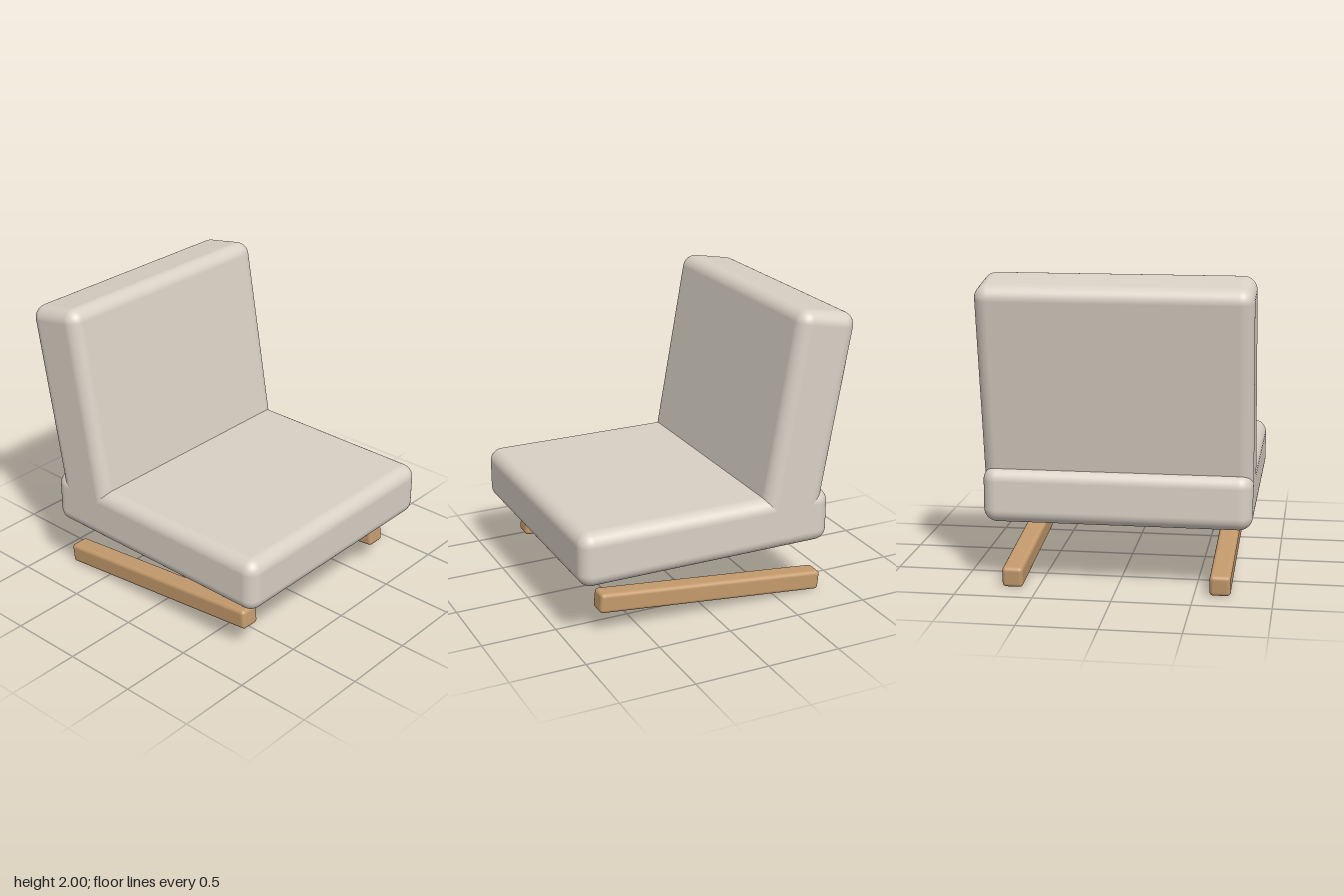
import * as THREE from 'three';
import { RoundedBoxGeometry } from 'three/addons/geometries/RoundedBoxGeometry.js';

const fabric = new THREE.MeshStandardMaterial({ color: 0xd8d0c4 });
const wood = new THREE.MeshStandardMaterial({ color: 0xc49a6c });

// Rounded block, tilted about x by the given degrees
function block(name, size, radius, material, position, tilt = 0) {
  const mesh = new THREE.Mesh(new RoundedBoxGeometry(...size, 6, radius), material);
  mesh.name = name;
  mesh.position.set(...position);
  mesh.rotation.x = THREE.MathUtils.degToRad(tilt);
  return mesh;
}

export function createModel() {
  const chair = new THREE.Group();
  chair.name = 'loungeChair';

  // Thick cushions: level seat and reclined back sunk into it
  chair.add(block('seatCushion', [1.716, 0.363, 1.765], 0.088, fabric, [0, 0.597, 0.073]));
  chair.add(block('backCushion', [1.716, 1.5, 0.419], 0.088, fabric, [0, 1.239, -0.633], -10));

  // Sloping wooden runners, higher at the front
  for (const [name, side] of [['leftRunner', 1], ['rightRunner', -1]]) {
    chair.add(block(name, [0.134, 0.134, 1.61], 0.026, wood, [side * 0.664, 0.15, -0.023], -6));
  }
  return chair;
}
